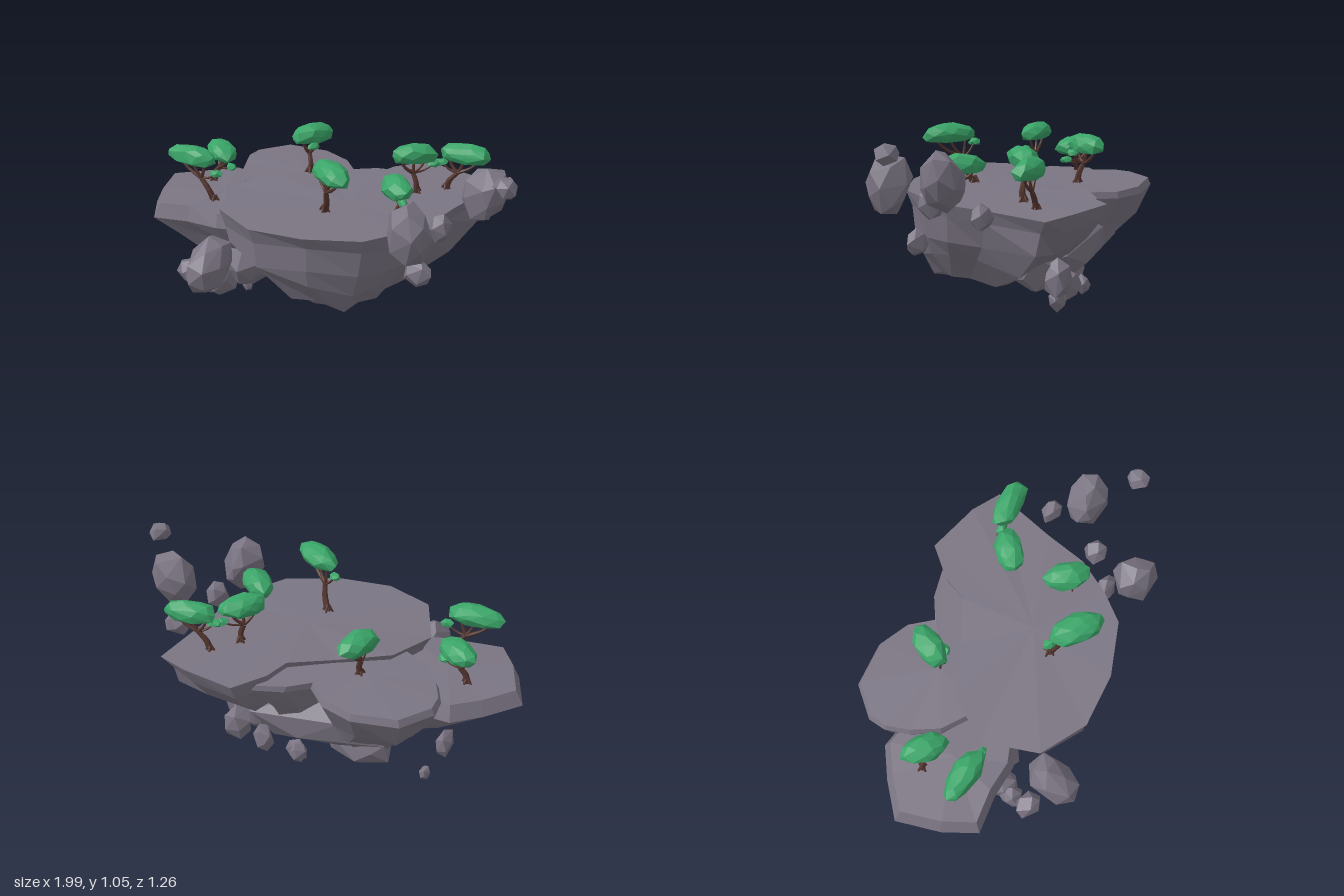
import * as THREE from 'three';
import { ConvexGeometry } from 'three/addons/geometries/ConvexGeometry.js';

const mat = (color) => new THREE.MeshStandardMaterial({ color, flatShading: true });
const V = (x, y, z) => new THREE.Vector3(x, y, z);

export function createModel() {
  const model = new THREE.Group();
  const stone = mat(0x7b7583), leaf = mat(0x3aa568), bark = mat(0x55362f);

  // seeded noise in -1..1
  let seed = 11;
  const rnd = () => {
    seed = (seed * 16807) % 2147483647;
    return (seed / 2147483647) * 2 - 1;
  };

  const add = (parent, name, geometry, material) => {
    const mesh = new THREE.Mesh(geometry, material);
    mesh.name = name;
    parent.add(mesh);
    return mesh;
  };

  // Island slab: an outline [x, z] lofted through rings [scale, y, shiftX, shiftZ, roughness]
  function slab(name, cx, cz, outline, rings) {
    const n = outline.length, pos = [], idx = [];
    rings.forEach(([s, y, dx = 0, dz = 0, rough = 0]) => {
      for (const [x, z] of outline) {
        const k = s * (1 + rnd() * rough);
        pos.push(cx + dx + (x - cx) * k, y + (s ? rnd() * (0.006 + rough * 0.35) : 0), cz + dz + (z - cz) * k);
      }
    });
    for (let r = 0; r < rings.length - 1; r++) {
      for (let i = 0; i < n; i++) {
        const a = r * n + i, b = r * n + (i + 1) % n, c = a + n, d = b + n;
        if (rings[r][0] > 0) idx.push(a, b, c);
        if (rings[r + 1][0] > 0) idx.push(b, d, c);
      }
    }
    const g = new THREE.BufferGeometry();
    g.setAttribute('position', new THREE.Float32BufferAttribute(pos, 3));
    g.setIndex(idx);
    const flat = g.toNonIndexed();
    flat.computeVertexNormals();
    add(model, name, flat, stone);
  }

  // main plateau with the back right corner
  slab('mainPlateau', 0.12, 0.02, [
    [0.57, -0.2], [0.55, 0.02], [0.47, 0.2], [0.38, 0.34], [0.13, 0.46], [-0.14, 0.5], [-0.38, 0.4],
    [-0.49, 0.14], [-0.38, -0.09], [-0.15, -0.22], [0.05, -0.35], [0.09, -0.48], [0.2, -0.63], [0.47, -0.59], [0.62, -0.53],
  ], [[0, 0.72], [1, 0.718], [0.94, 0.64, 0, 0, 0.02], [0.87, 0.53, 0, 0.02, 0.05], [0.74, 0.42, 0, 0.05, 0.08],
    [0.48, 0.31, 0, 0.1, 0.1], [0, 0.25, 0, 0.04]]);

  // low left terrace
  slab('leftTerrace', -0.6, 0.06, [
    [-0.3, 0.05], [-0.33, 0.24], [-0.47, 0.31], [-0.64, 0.32], [-0.82, 0.36], [-0.92, 0.21],
    [-1, 0], [-0.86, -0.15], [-0.73, -0.26], [-0.5, -0.25],
  ], [[0, 0.635], [0.9, 0.625], [1, 0.55], [0.75, 0.44, 0.05, 0, 0.06], [0.5, 0.36, 0.1, 0, 0.1], [0, 0.27, 0.15, 0]]);

  // back left terrace
  slab('backTerrace', -0.3, -0.24, [
    [0.2, -0.3], [0.05, 0], [-0.3, 0.08], [-0.55, -0.05], [-0.64, -0.17], [-0.69, -0.28], [-0.69, -0.37],
    [-0.58, -0.52], [-0.36, -0.56], [-0.2, -0.51], [-0.1, -0.41], [0, -0.49], [0.14, -0.54],
  ], [[0, 0.695], [0.96, 0.69], [1, 0.66], [0.86, 0.53, 0, 0.03, 0.07], [0.68, 0.4, 0.04, 0.05, 0.08],
    [0.45, 0.28, 0.06, 0.1, 0.1], [0, 0.2, 0.06, 0.1]]);

  // Faceted solid: hull of jittered points spread over an ellipsoid
  function hull(n, w, h, d, rough, floor = -1) {
    const pts = [];
    for (let i = 0; i < n; i++) {
      const y = 1 - (2 * i + 1) / n, r = Math.sqrt(1 - y * y), a = i * 2.39996 + rnd() * 0.3, k = 1 + rnd() * rough;
      pts.push(V(Math.cos(a) * r * k * w / 2, Math.max(y * k, floor) * h / 2, Math.sin(a) * r * k * d / 2));
    }
    return new ConvexGeometry(pts);
  }

  // Boulders: x, y, z, width, height, depth, sideways tilt, forward tilt
  const rock = (name) => ([x, y, z, w, h, d, tilt = 0, pitch = 0], i) => {
    const m = add(model, name + (i + 1), hull(w > 0.15 ? 22 : 15, w * 1.06, h * 1.08, d * 1.06, 0.1), stone);
    m.position.set(x, y, z);
    m.rotation.set(pitch, 0, tilt);
  };
  // core and bulges under the island
  [
    [-0.08, 0.44, -0.12, 0.95, 0.38, 0.66],
    [-0.25, 0.235, -0.15, 0.34, 0.2, 0.28, 0.3],
    [-0.5, 0.26, 0.25, 0.15, 0.2, 0.22, 0.3],
    [-0.42, 0.33, 0.12, 0.3, 0.26, 0.3],
    [0.05, 0.33, 0.12, 0.4, 0.18, 0.35],
    [0.25, 0.4, -0.3, 0.3, 0.24, 0.22],
  ].forEach(rock('underside'));
  // loose floating rocks
  [
    [0.77, 0.875, -0.11, 0.2, 0.27, 0.2, -0.45],
    [0.59, 0.79, 0.29, 0.21, 0.29, 0.21, 0.3],
    [0.94, 1.01, 0.06, 0.11, 0.09, 0.11, -0.2],
    [0.69, 0.72, -0.26, 0.12, 0.12, 0.09],
    [0.62, 0.73, 0.045, 0.11, 0.15, 0.11],
    [0.57, 0.525, 0.155, 0.14, 0.13, 0.1, 0.2],
    [-0.385, 0.455, 0.49, 0.19, 0.2, 0.3, 0.1, 0.65],
    [-0.54, 0.365, 0.45, 0.14, 0.12, 0.12],
    [-0.53, 0.27, 0.34, 0.11, 0.15, 0.12],
    [-0.62, 0.165, 0.055, 0.085, 0.16, 0.14, 0.1],
    [-0.56, 0.045, -0.065, 0.055, 0.08, 0.065],
    [0.03, 0.175, -0.3, 0.11, 0.12, 0.09, -0.3],
    [0.28, 0.36, -0.43, 0.13, 0.19, 0.13, 0.2],
    [-0.03, 0.25, -0.405, 0.08, 0.1, 0.08],
    [0.15, 0.3, -0.42, 0.1, 0.16, 0.1],
  ].forEach(rock('floatingRock'));

  // Tapering limb along a curve
  function limb(parent, name, points, r0, r1) {
    const curve = new THREE.CatmullRomCurve3(points), seg = 6, sides = 6;
    const g = new THREE.TubeGeometry(curve, seg, 1, sides, false);
    const p = g.attributes.position, v = V(0, 0, 0);
    for (let i = 0; i < p.count; i++) {
      const t = Math.floor(i / (sides + 1)) / seg, c = curve.getPointAt(t);
      v.fromBufferAttribute(p, i).sub(c).multiplyScalar(r0 + (r1 - r0) * t).add(c);
      p.setXYZ(i, v.x, v.y, v.z);
    }
    g.computeVertexNormals();
    add(parent, name, g, bark);
  }

  // Tree: trunk base, crown centre, crown length, width, heading, side clump offset
  [
    [[0.06, 0.72, 0.15], [0.15, 0.96, 0.235], 0.28, 0.14, -0.6, [-0.12, -0.05, -0.07]],
    [[0.41, 0.72, 0.05], [0.38, 0.865, 0.03], 0.23, 0.14, -0.75, [0.06, -0.04, 0.05]],
    [[0.33, 0.72, -0.27], [0.315, 0.915, -0.26], 0.24, 0.14, 0.8, [0.07, -0.06, -0.08]],
    [[0.43, 0.71, -0.39], [0.52, 0.91, -0.4], 0.28, 0.13, 0.15, [-0.11, -0.05, 0.03]],
    [[-0.28, 0.69, -0.25], [-0.285, 0.885, -0.295], 0.23, 0.14, 1.2, [0.04, -0.04, 0.06]],
    [[-0.73, 0.625, -0.03], [-0.68, 0.79, -0.045], 0.23, 0.14, -0.6, [0.07, -0.06, 0.02]],
    [[-0.58, 0.625, 0.17], [-0.69, 0.85, 0.195], 0.28, 0.13, 0, [0.14, -0.07, -0.01]],
  ].forEach(([b, c, len, wid, heading, side], i) => {
    const tree = new THREE.Group();
    tree.name = 'tree' + (i + 1);
    model.add(tree);
    const base = V(...b), top = V(...c);
    const clump = top.clone().add(V(...side));
    const fork = base.clone().lerp(top, 0.5).add(V(i % 2 ? 0.012 : -0.012, 0, 0));

    // trunk and root flares
    const bend = base.clone().lerp(fork, 0.5).add(V(i % 2 ? -0.012 : 0.01, 0, 0.004));
    limb(tree, 'trunk', [base.clone().add(V(0, -0.01, 0)), bend, fork], 0.017, 0.012);
    for (let k = 0; k < 4; k++) {
      const a = k * 1.57 + i;
      const out = (r, y) => base.clone().add(V(Math.cos(a) * r, y, Math.sin(a) * r));
      limb(tree, 'root', [out(0.004, 0.03), out(0.018, 0.01), out(0.032, -0.012)], 0.008, 0.004);
    }

    // branches fanning along the crown
    const along = V(Math.cos(heading), 0, -Math.sin(heading));
    [-0.3, 0, 0.28].forEach((k) => {
      const tip = top.clone().addScaledVector(along, k * len).add(V(0, -0.02, 0));
      const mid = fork.clone().lerp(tip, 0.55).add(V(0, -0.012, 0));
      limb(tree, 'branch', [fork, mid, tip], 0.01, 0.005);
    });
    limb(tree, 'branch', [fork, fork.clone().lerp(clump, 0.5).add(V(0, -0.01, 0)), clump], 0.007, 0.004);

    // flat bottomed crown with a small side clump
    const crown = add(tree, 'crown', hull(40, len, 0.12, wid, 0.09, -0.5), leaf);
    crown.position.copy(top);
    crown.rotation.y = heading;
    const small = add(tree, 'sideClump', hull(16, 0.07, 0.045, 0.05, 0.1, -0.5), leaf);
    small.position.copy(clump);
    small.rotation.y = heading;
  });

  return model;
}
